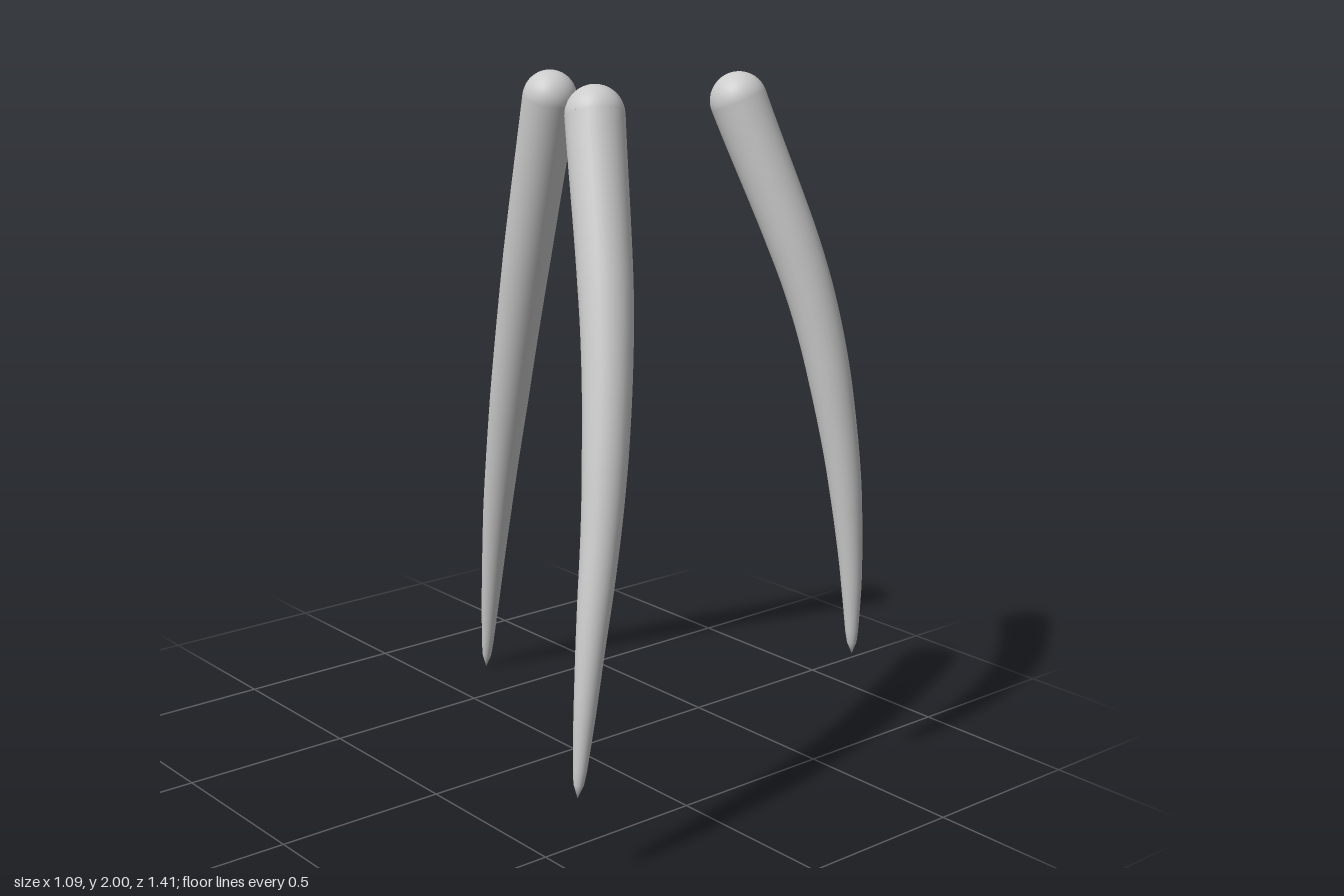
import * as THREE from 'three';
import { mergeVertices } from 'three/addons/utils/BufferGeometryUtils.js';

const SEGMENTS = 48, SIDES = 28, TOP_RADIUS = 0.078;

// radius along a leg: [fraction of length, radius]
const TAPER = [[0, TOP_RADIUS], [0.25, 0.071], [0.5, 0.059], [0.7, 0.045], [0.88, 0.028], [0.96, 0.018], [0.99, 0.011], [1, 0]];

function radiusAt(t) {
  let i = 1;
  while (i < TAPER.length - 1 && t > TAPER[i][0]) i++;
  const [t0, r0] = TAPER[i - 1], [t1, r1] = TAPER[i];
  return THREE.MathUtils.lerp(r0, r1, (t - t0) / (t1 - t0));
}

// tube whose rings shrink toward the tip
function taperedTube(curve) {
  const geo = new THREE.TubeGeometry(curve, SEGMENTS, 1, SIDES, false);
  const pos = geo.attributes.position, v = new THREE.Vector3();
  for (let i = 0; i <= SEGMENTS; i++) {
    const t = i / SEGMENTS, centre = curve.getPointAt(t), r = radiusAt(t);
    for (let j = 0; j <= SIDES; j++) {
      const k = i * (SIDES + 1) + j;
      v.fromBufferAttribute(pos, k).sub(centre).multiplyScalar(r).add(centre);
      pos.setXYZ(k, v.x, v.y, v.z);
    }
  }
  // weld the seam for smooth normals
  geo.deleteAttribute('uv');
  geo.deleteAttribute('normal');
  const welded = mergeVertices(geo, 1e-5);
  welded.computeVertexNormals();
  return welded;
}

function makeLeg(name, points, material) {
  const leg = new THREE.Group();
  leg.name = name;
  const curve = new THREE.CatmullRomCurve3(points.map(p => new THREE.Vector3(...p)));

  const shaft = new THREE.Mesh(taperedTube(curve), material);
  shaft.name = name + 'Shaft';

  // rounded upper end
  const cap = new THREE.Mesh(
    new THREE.SphereGeometry(TOP_RADIUS, SIDES, 10, 0, Math.PI * 2, 0, Math.PI / 2), material);
  cap.name = name + 'Cap';
  cap.position.copy(curve.getPointAt(0));
  cap.quaternion.setFromUnitVectors(new THREE.Vector3(0, 1, 0), curve.getTangentAt(0).negate());

  leg.add(shaft, cap);
  return leg;
}

export function createModel() {
  const model = new THREE.Group();
  model.name = 'curvedLegs';
  const material = new THREE.MeshStandardMaterial({ color: 0xcccccc });

  // centrelines from top to tip
  const legs = {
    frontRightLeg: [[-0.222, 1.922, 0.36], [-0.325, 1.4, 0.535], [-0.408, 1.0, 0.622], [-0.49, 0.6, 0.668], [-0.537, 0.245, 0.68]],
    frontLeftLeg: [[0.297, 1.922, 0.34], [0.425, 1.4, 0.505], [0.483, 1.0, 0.576], [0.512, 0.65, 0.607], [0.525, 0.36, 0.614]],
    backLeg: [[0.078, 1.9, -0.205], [0.104, 1.4, -0.353], [0.13, 1.0, -0.468], [0.158, 0.6, -0.575], [0.182, 0.25, -0.653], [0.194, 0, -0.697]],
  };
  for (const [name, points] of Object.entries(legs)) model.add(makeLeg(name, points, material));
  return model;
}
